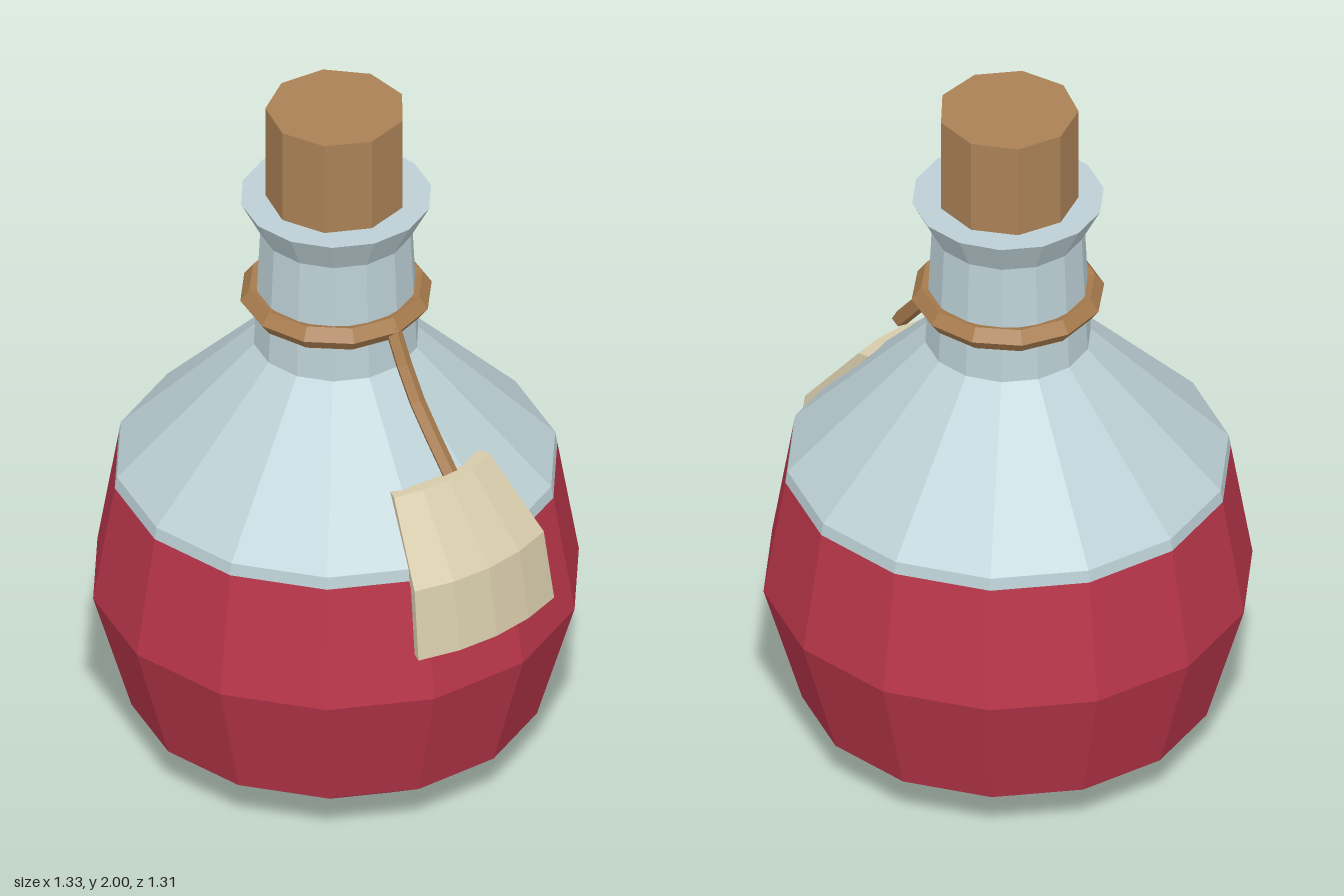
import * as THREE from 'three';

const flat = (name, color, side = THREE.FrontSide) => {
  const m = new THREE.MeshStandardMaterial({ color, flatShading: true, side });
  m.name = name;
  return m;
};
const rad = THREE.MathUtils.degToRad;
const profile = (pts) => pts.map(([r, y]) => new THREE.Vector2(r, y));

export function createModel() {
  const glass = flat('glass', 0xbcd0d5);
  const liquid = flat('liquid', 0xba364a);
  const cork = flat('cork', 0xaa8156);
  const cord = flat('cord', 0xa87c4e);
  const paper = flat('paper', 0xd6caaa, THREE.DoubleSide);

  const model = new THREE.Group();
  model.name = 'bottle';
  model.position.z = -0.007;
  const add = (name, geometry, material, parent = model) => {
    const mesh = new THREE.Mesh(geometry, material);
    mesh.name = name;
    parent.add(mesh);
    return mesh;
  };

  // Fourteen-sided body with a corner on each side
  const turned = (pts) => new THREE.LatheGeometry(profile(pts), 14).rotateY(Math.PI / 2);
  add('liquidBody', turned([[0, 0], [0.35, 0], [0.56, 0.14], [0.665, 0.495], [0.606, 0.845]]), liquid);
  add('glassShoulderAndNeck', turned([
    [0.606, 0.845], [0.6, 0.88], [0.225, 1.265], [0.208, 1.62], [0.26, 1.72], [0, 1.72],
  ]), glass);

  // Stopper
  add('stopper', new THREE.CylinderGeometry(0.19, 0.19, 0.4, 9).rotateY(Math.PI), cork).position.y = 1.8;

  // Cord tied round the neck
  add('neckCord', new THREE.TorusGeometry(0.226, 0.036, 5, 12).rotateX(Math.PI / 2), cord).position.y = 1.408;

  // Hanging cord, lying along one direction from the axis
  const azimuth = rad(29.5);
  const path = new THREE.CatmullRomCurve3([[0.235, 1.41], [0.325, 1.24], [0.475, 1.06]].map(
    ([r, y]) => new THREE.Vector3(r * Math.sin(azimuth), y, r * Math.cos(azimuth))));
  const hanging = new THREE.Group();
  hanging.name = 'hangingCord';
  model.add(hanging);
  add('cordStrand', new THREE.TubeGeometry(path, 4, 0.023, 5), cord, hanging);
  const cordEnd = add('cordEnd', new THREE.CircleGeometry(0.023, 5), cord, hanging);
  cordEnd.position.copy(path.getPoint(1));
  cordEnd.lookAt(path.getPoint(1).add(path.getTangent(1)));

  // Label bent round the bottle: a closed section swept through an arc, with end caps
  const section = profile([
    [0.64, 0.635], [0.672, 0.635], [0.64, 0.838], [0.472, 1.037], [0.44, 1.037], [0.61, 0.828], [0.64, 0.635],
  ]);
  const start = rad(8.7), end = rad(50.3);
  const label = new THREE.Group();
  label.name = 'label';
  model.add(label);
  add('labelSheet', new THREE.LatheGeometry(section, 4, start, end - start), paper, label);
  for (const phi of [start, end]) {
    const cap = new THREE.ShapeGeometry(new THREE.Shape(section.slice(0, -1)));
    add('labelEdge', cap.rotateY(phi - Math.PI / 2), paper, label);
  }

  const root = new THREE.Group();
  root.name = 'potionBottle';
  root.add(model);
  return root;
}
